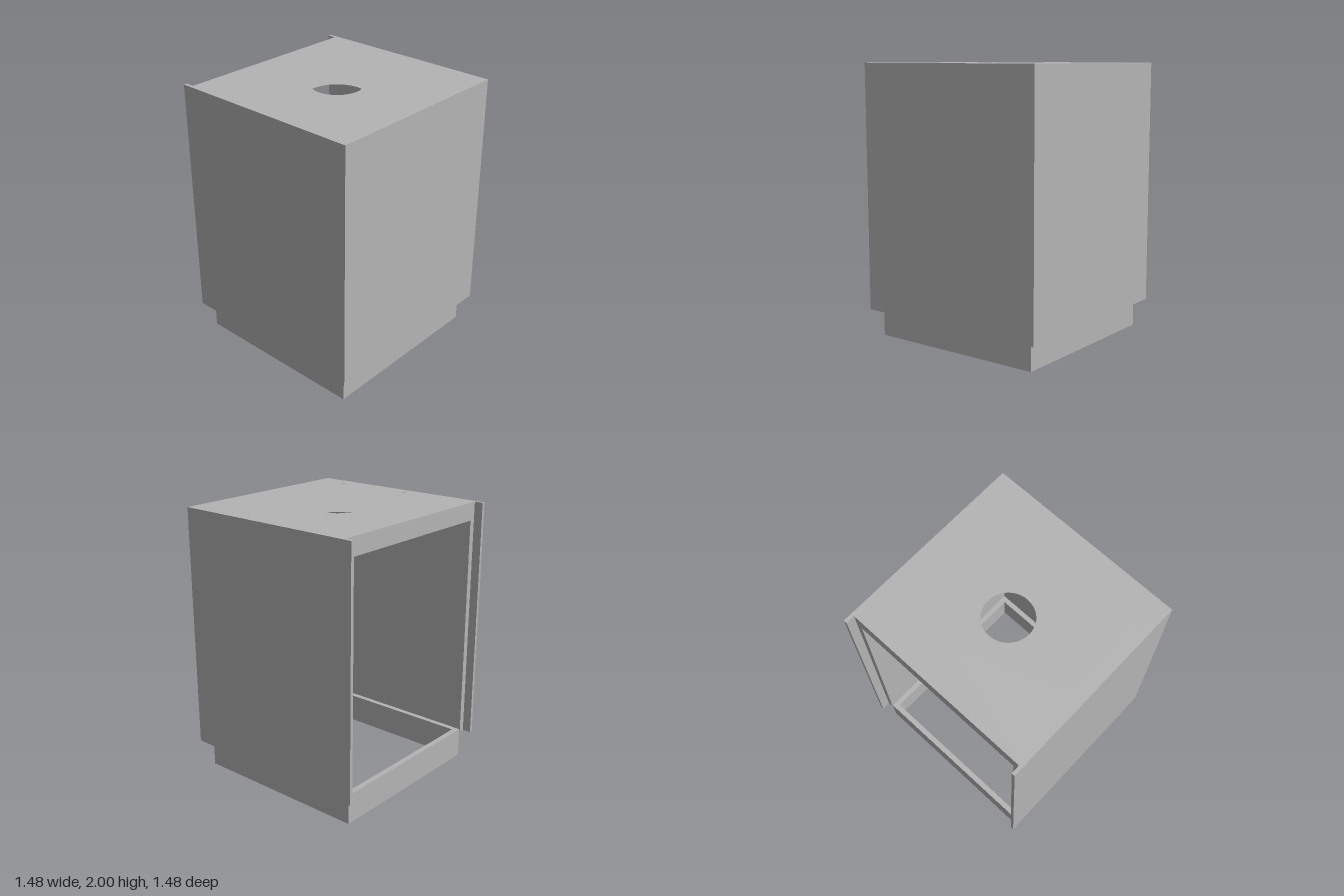
import * as THREE from 'three';

const OUT = 0.74;    // outer half width
const SKIN = 0.715;  // inner face of the thin side skins
const WALL = 0.67;   // inner face of the walls
const BACK = -0.675; // rear edge of walls and top
const CEILING = 1.87;

export function createModel() {
  const model = new THREE.Group();
  model.name = 'openBackCabinet';
  const grey = new THREE.MeshStandardMaterial({ color: 0xb4b4b4 });
  grey.name = 'panel grey';

  // Extrudes a plan outline of [x, z] points between two heights, with round holes [x, z, r]
  function slab(name, points, y0, y1, holes = []) {
    const shape = new THREE.Shape(points.map(([x, z]) => new THREE.Vector2(x, z)));
    for (const [x, z, r] of holes) {
      shape.holes.push(new THREE.Path().absarc(x, z, r, 0, Math.PI * 2, true));
    }
    const geometry = new THREE.ExtrudeGeometry(shape, {
      depth: y1 - y0, bevelEnabled: false, curveSegments: 48,
    });
    geometry.rotateX(Math.PI / 2).translate(0, y1, 0);
    const mesh = new THREE.Mesh(geometry, grey);
    mesh.name = name;
    model.add(mesh);
  }

  // Outlines share the outer edge; side skins run past the rear of the inner panels
  const leftTab = [[-SKIN, BACK], [-SKIN, -OUT], [-OUT, -OUT]];
  const rightTab = [[OUT, -OUT], [SKIN, -OUT], [SKIN, BACK]];
  const outer = [...leftTab, [-OUT, OUT], [OUT, OUT], ...rightTab];
  const walls = [...outer, [WALL, BACK], [WALL, WALL], [-WALL, WALL], [-WALL, BACK]];

  // Three walls, open at the back
  slab('walls', walls, 0.2, CEILING);

  // Top panel in layers: shallow recess, blind screw holes, round opening, wider bore below
  const screws = [[0.13, -0.42], [0.62, -0.42], [-0.63, -0.1], [-0.63, 0.49]]
    .map(([x, z]) => [x, z, 0.024]);
  slab('topRecessLayer', outer, 1.975, 2, [[0, 0, 0.28], ...screws]);
  slab('topScrewLayer', outer, 1.95, 1.975, [[0, 0, 0.18], ...screws]);
  slab('topCoreLayer', outer, 1.9, 1.95, [[0, 0, 0.18]]);
  slab('topBoreLayer', outer, CEILING, 1.9, [[0, 0, 0.217]]);

  // Plinth frame, standing slightly inside the walls
  const rail = 0.04;
  const plinthTop = 0.22;
  function railBox(name, w, d, x, z) {
    const mesh = new THREE.Mesh(new THREE.BoxGeometry(w, plinthTop, d), grey);
    mesh.name = name;
    mesh.position.set(x, plinthTop / 2, z);
    model.add(mesh);
  }
  const c = WALL - rail / 2;
  for (const s of [-1, 1]) {
    railBox(s > 0 ? 'plinthFront' : 'plinthBack', WALL * 2, rail, 0, s * c);
    railBox(s > 0 ? 'plinthLeft' : 'plinthRight', rail, (WALL - rail) * 2, s * c, 0);
  }
  return model;
}
